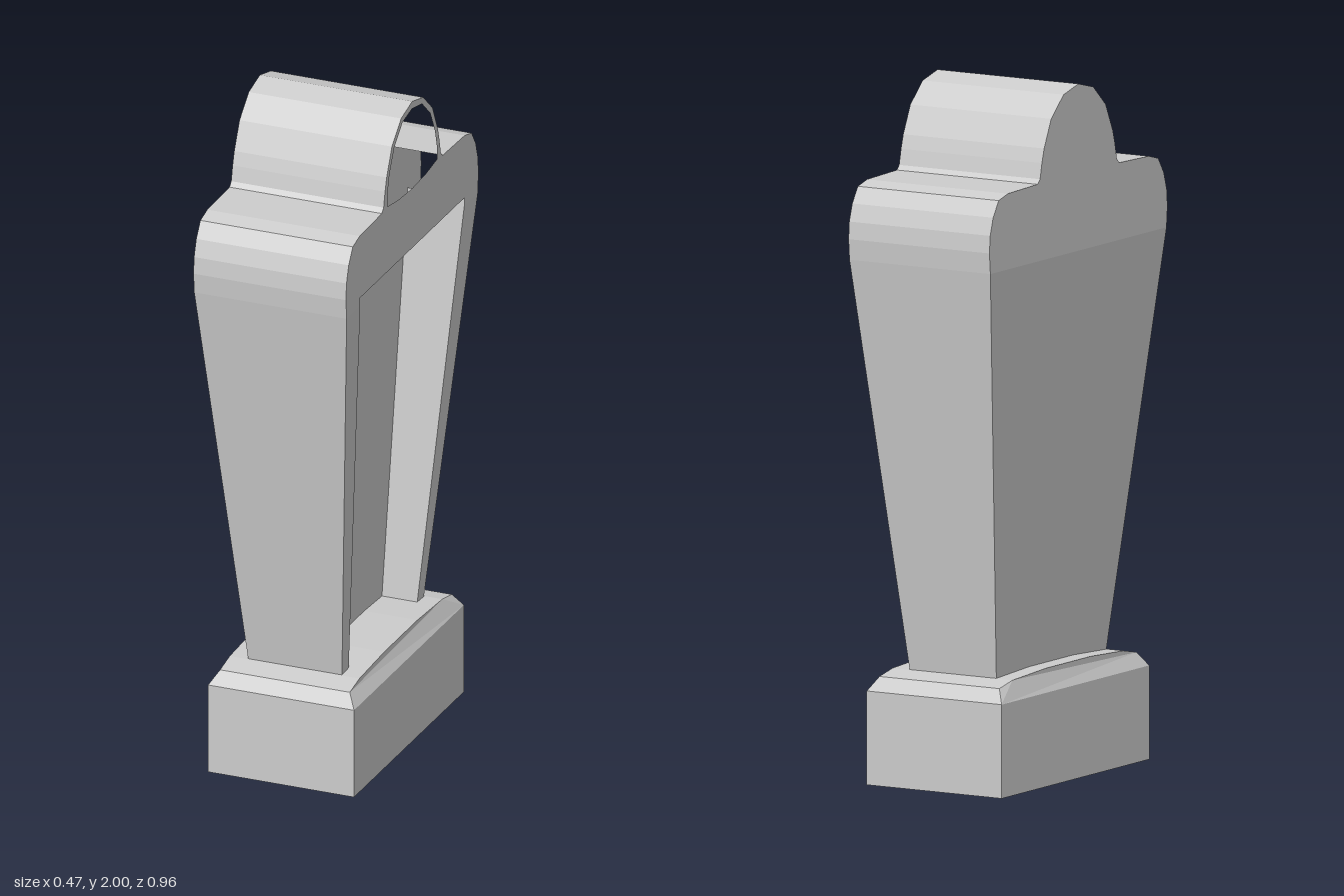
import * as THREE from 'three';

const material = new THREE.MeshStandardMaterial({ color: 0xcccccc, flatShading: true });

// Closed outline mirrored in z from half-points [z, y] running from bottom to top centre.
function mirrored(half) {
  const left = half.filter(([z]) => z > 0).reverse().map(([z, y]) => [-z, y]);
  return [...half, ...left];
}

const toPoints = (pts) => pts.map(([z, y]) => new THREE.Vector2(-z, y));

// Slab with a [z, y] outline between x0 and x1 (fractions of the half width at each height).
function slab(name, outline, x0, x1, halfWidth, hole) {
  const shape = new THREE.Shape(toPoints(outline));
  if (hole) shape.holes.push(new THREE.Path(toPoints(hole)));
  const geometry = new THREE.ExtrudeGeometry(shape, { depth: x1 - x0, bevelEnabled: false });
  geometry.translate(0, 0, x0);
  geometry.rotateY(Math.PI / 2);
  const p = geometry.attributes.position;
  for (let i = 0; i < p.count; i++) p.setX(i, p.getX(i) * halfWidth(p.getY(i)));
  geometry.computeVertexNormals();
  const mesh = new THREE.Mesh(geometry, material);
  mesh.name = name;
  return mesh;
}

export function createModel() {
  const group = new THREE.Group();
  group.name = 'headstone';

  // Plinth: a block with a chamfered, slightly bowed top
  const block = new THREE.Mesh(new THREE.BoxGeometry(0.45, 0.27, 0.796), material);
  block.name = 'plinth';
  block.position.y = 0.135;
  const capOutline = mirrored([[0.398, 0.27], [0.37, 0.31], [0.3, 0.324], [0.12, 0.333]]);
  const capWidth = (y) => (y < 0.28 ? 0.225 : 0.2);
  group.add(block, slab('plinthCap', capOutline, -1, 1, capWidth));

  // Stone width narrows towards the plinth and is constant above the shoulder
  const seam = 1.52;
  const floor = 0.25;
  const width = (y) => 0.235 - 0.09 * Math.max(0, (seam - y) / (seam - 0.33));

  // Tapered lower stone: back panel and a post on each side of the recess
  const shaft = mirrored([[0.293, 0.3], [0.475, seam]]);
  group.add(slab('shaftBack', shaft, -1, floor, width));
  for (const s of [1, -1]) {
    const post = [[0.293, 0.3], [0.475, seam], [0.377, seam], [0.245, 0.3]];
    group.add(slab('recessPost', post.map(([z, y]) => [s * z, y]), floor, 1, width));
  }

  // Upper stone: rounded shoulders carrying a domed crest
  const crown = [
    [0.475, seam], [0.48, 1.58], [0.476, 1.63], [0.46, 1.68], [0.43, 1.725], [0.38, 1.738],
    [0.22, 1.742], [0.207, 1.755], [0.197, 1.8], [0.185, 1.84], [0.147, 1.92], [0.08, 1.98], [0, 2],
  ];
  const recessTop = [[0.38, 1.545], [0.377, seam]];
  const niche = mirrored([
    [0, 1.73], [0.1, 1.735], [0.18, 1.747], [0.178, 1.79], [0.165, 1.84],
    [0.13, 1.91], [0.07, 1.964], [0, 1.978],
  ]);
  group.add(slab('crownBack', mirrored(crown), -1, floor, width));
  group.add(slab('crownFront', mirrored([...recessTop, ...crown]), floor, 1, width, niche));

  return group;
}
